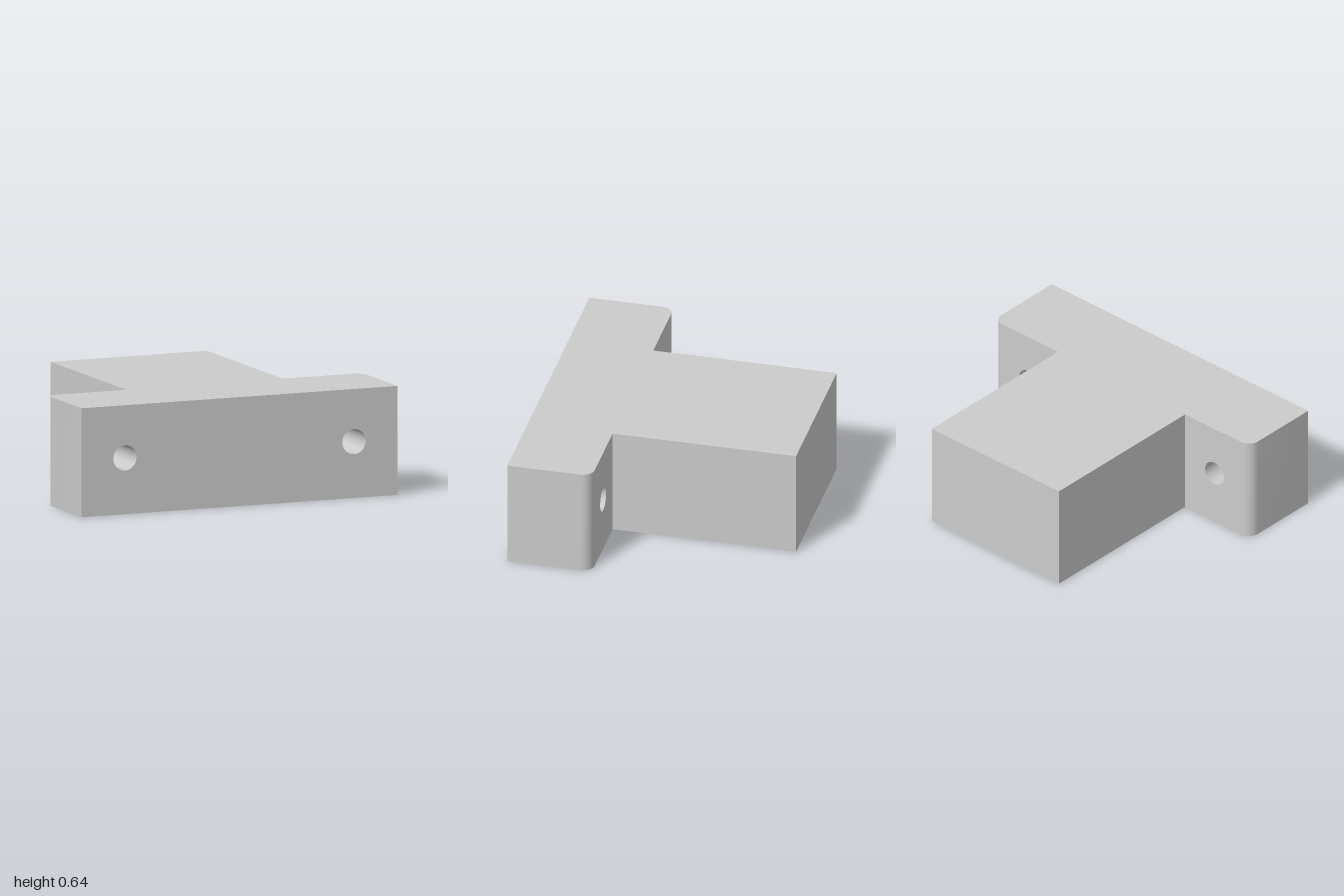
import * as THREE from 'three';
import { toCreasedNormals } from 'three/addons/utils/BufferGeometryUtils.js';

const HEIGHT = 0.64;
const BACK = -0.8, SHOULDER = 0.295, FRONT = 0.8; // z planes
const STEM_HALF = 0.495;
const FILLET = 0.07, ARC_STEPS = 10;

// Flange: plate drilled front to back, with rounded vertical edges at the rear
function flangeGeometry() {
  const plate = new THREE.Shape();
  plate.moveTo(-1, 0).lineTo(1, 0).lineTo(1, HEIGHT).lineTo(-1, HEIGHT).closePath();
  for (const side of [-1, 1]) {
    plate.holes.push(new THREE.Path().absarc(side * 0.725, 0.331, 0.074, 0, Math.PI * 2, true));
  }
  const steps = ARC_STEPS + 1;
  const geometry = new THREE.ExtrudeGeometry(plate, {
    depth: steps, steps, bevelEnabled: false, curveSegments: 40,
  });

  // Each extrusion layer follows the fillet arc; the last one is the front face
  const p = geometry.attributes.position;
  for (let i = 0; i < p.count; i++) {
    const layer = Math.round(p.getZ(i));
    if (layer > ARC_STEPS) {
      p.setZ(i, FRONT);
      continue;
    }
    const a = (layer / ARC_STEPS) * Math.PI / 2;
    p.setZ(i, SHOULDER + FILLET * (1 - Math.cos(a)));
    if (Math.abs(p.getX(i)) > 0.99) {
      p.setX(i, Math.sign(p.getX(i)) * (1 - FILLET + FILLET * Math.sin(a)));
    }
  }
  return toCreasedNormals(geometry, Math.PI / 6);
}

export function createModel() {
  const group = new THREE.Group();
  group.name = 'mountingBlock';
  const material = new THREE.MeshStandardMaterial({ color: 0xcccccc });

  const flange = new THREE.Mesh(flangeGeometry(), material);
  flange.name = 'flange';

  // Stem: plain block running back from the flange
  const stem = new THREE.Mesh(
    new THREE.BoxGeometry(STEM_HALF * 2, HEIGHT, SHOULDER - BACK), material);
  stem.name = 'stem';
  stem.position.set(0, HEIGHT / 2, (SHOULDER + BACK) / 2);

  group.add(flange, stem);
  return group;
}
